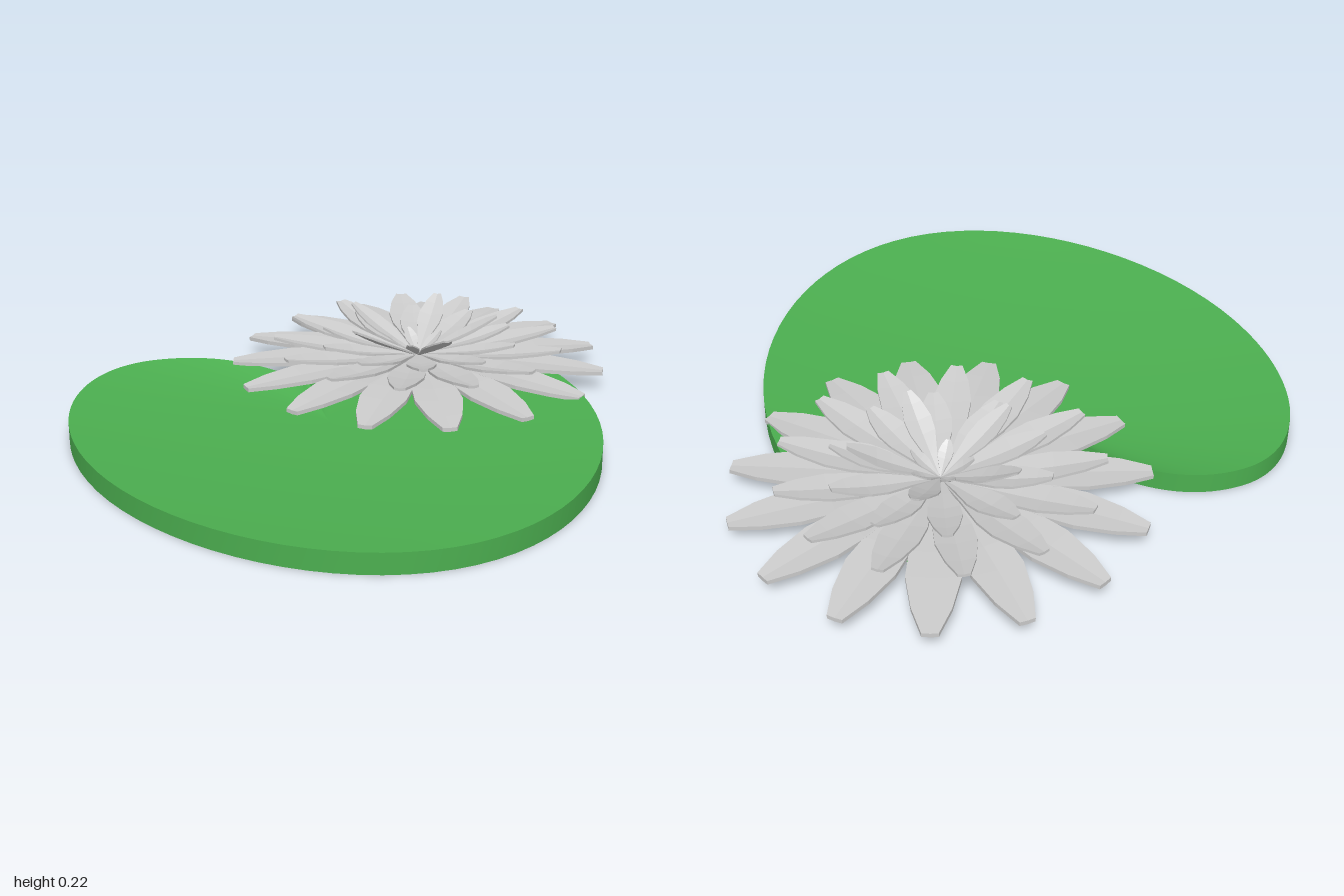
import * as THREE from 'three';

const grey = new THREE.MeshStandardMaterial({ color: 0xcccccc, flatShading: true, side: THREE.DoubleSide });
const green = new THREE.MeshStandardMaterial({ color: 0x4caf50 });

// Smooth skin over closed loops of points, all with the same count
function skin(name, loops) {
  const n = loops[0].length, index = [];
  for (let r = 0; r < loops.length - 1; r++) {
    for (let i = 0; i < n; i++) {
      const a = r * n + i, b = r * n + (i + 1) % n;
      index.push(a, b, b + n, a, b + n, a + n);
    }
  }
  const geo = new THREE.BufferGeometry().setFromPoints(loops.flat());
  geo.setIndex(index);
  geo.computeVertexNormals();
  const mesh = new THREE.Mesh(geo, green);
  mesh.name = name;
  return mesh;
}

// Heart-shaped floating leaf with a flat base and a shallow dished top
function makePad() {
  const s = new THREE.Shape();
  s.moveTo(0, 0.27);
  s.bezierCurveTo(-0.08, 0.5, -0.22, 0.66, -0.43, 0.66);
  s.bezierCurveTo(-0.65, 0.66, -0.815, 0.38, -0.815, 0.03);
  s.bezierCurveTo(-0.815, -0.5, -0.43, -1, 0, -1);
  s.bezierCurveTo(0.43, -1, 0.815, -0.5, 0.815, 0.03);
  s.bezierCurveTo(0.815, 0.38, 0.65, 0.66, 0.43, 0.66);
  s.bezierCurveTo(0.22, 0.66, 0.08, 0.5, 0, 0.27);
  const outline = s.getPoints(20).slice(0, -1);
  const height = 0.065, dip = 0.05, centreZ = -0.05;
  const loop = (u, y) => outline.map(p =>
    new THREE.Vector3(p.x * u, y, centreZ + (-p.y - centreZ) * u));
  const top = [];
  for (let k = 0; k <= 12; k++) {
    const u = Math.max(1 - k / 12, 0.001);
    top.push(loop(u, height - dip * (1 - u * u)));
  }
  const pad = new THREE.Group();
  pad.name = 'lilyPad';
  pad.position.x = -0.12;
  pad.add(
    skin('padTop', top),
    skin('padRim', [loop(1, 0), loop(1, height)]),
    skin('padUnderside', [loop(0.001, 0), loop(1, 0)]),
  );
  return pad;
}

// Closed, slightly folded petal along +z: [distance along, half width factor]
const OUTLINE = [[0.02, 0.08], [0.28, 0.47], [0.52, 0.93], [0.68, 1], [0.86, 0.72], [1, 0.3]];

function petalGeometry({ length, width, thick, fold, rise }) {
  const rings = OUTLINE.map(([t, f]) => {
    const w = width / 2 * f, c = fold * f, z = length * t, y = rise(t);
    return [[-w, 0], [0, -c], [w, 0], [w, thick], [0, thick - c], [-w, thick]]
      .map(([px, py]) => [px, y + py, z]);
  });
  const out = [];
  const quad = (a, b, c, d) => out.push(...a, ...b, ...c, ...a, ...c, ...d);
  for (let r = 0; r < rings.length - 1; r++) {
    const a = rings[r], b = rings[r + 1];
    for (let i = 0; i < 6; i++) {
      const j = (i + 1) % 6;
      quad(a[i], a[j], b[j], b[i]);
    }
  }
  // End caps
  const tip = rings[rings.length - 1], base = rings[0];
  quad(tip[0], tip[1], tip[4], tip[5]);
  quad(tip[1], tip[2], tip[3], tip[4]);
  quad(base[5], base[4], base[1], base[0]);
  quad(base[4], base[3], base[2], base[1]);
  const geo = new THREE.BufferGeometry();
  geo.setAttribute('position', new THREE.Float32BufferAttribute(out, 3));
  geo.computeVertexNormals();
  return geo;
}

// Petal whorls from the flat outer one to the small upright centre
const WHORLS = [
  { name: 'outerPetals', count: 15, start: Math.PI, length: 0.63, width: 0.155, thick: 0.013, fold: 0.006,
    rise: t => 0.06 + 0.016 * Math.sin(Math.PI * t) - 0.005 * t },
  { name: 'middlePetals', count: 13, start: 0, length: 0.49, width: 0.12, thick: 0.009, fold: 0.01,
    rise: t => 0.072 + 0.064 * t },
  { name: 'innerPetals', count: 10, start: Math.PI / 10, length: 0.335, width: 0.1, thick: 0.008, fold: 0.01,
    rise: t => 0.076 + 0.068 * t },
  { name: 'heartPetals', count: 5, start: 0, length: 0.268, width: 0.085, thick: 0.006, fold: 0.01,
    rise: t => 0.077 + 0.137 * t },
  { name: 'centrePetals', count: 5, start: Math.PI / 5, length: 0.1, width: 0.045, thick: 0.005, fold: 0.006,
    rise: t => 0.08 + 0.065 * t },
];

function makeFlower() {
  const flower = new THREE.Group();
  flower.name = 'flower';
  flower.position.set(0.303, 0, -0.37);
  for (const whorl of WHORLS) {
    const group = new THREE.Group();
    group.name = whorl.name;
    const geo = petalGeometry(whorl);
    for (let i = 0; i < whorl.count; i++) {
      const petal = new THREE.Mesh(geo, grey);
      petal.name = 'petal';
      petal.rotation.y = whorl.start + i * 2 * Math.PI / whorl.count;
      group.add(petal);
    }
    flower.add(group);
  }
  return flower;
}

export function createModel() {
  const model = new THREE.Group();
  model.name = 'waterLily';
  model.add(makePad(), makeFlower());
  return model;
}
